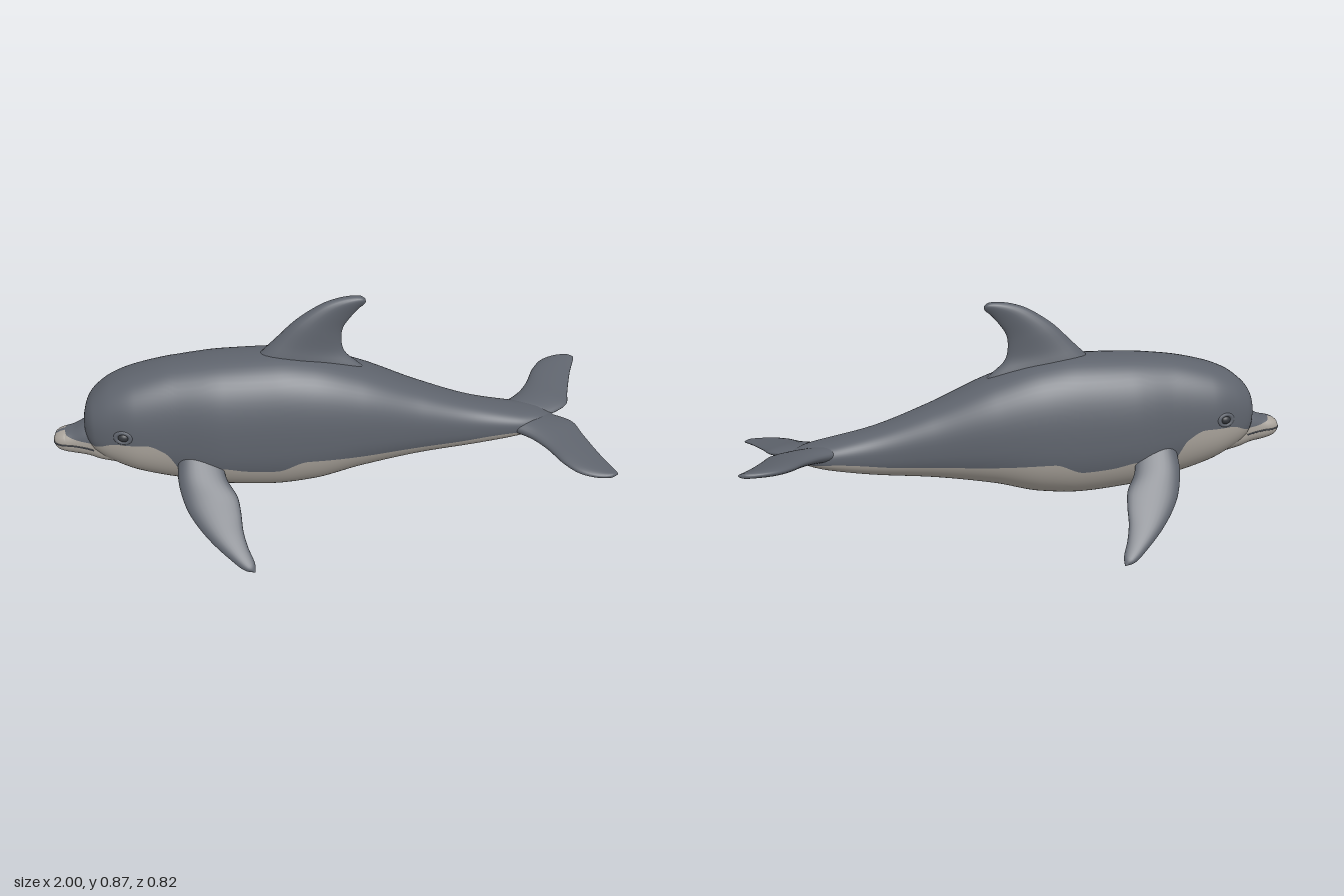
import * as THREE from 'three';

const skin = new THREE.MeshStandardMaterial({ color: 0x5e636c });
skin.name = 'slate grey skin';
const pale = new THREE.MeshStandardMaterial({ color: 0xa8a29a });
pale.name = 'pale belly';
const dark = new THREE.MeshStandardMaterial({ color: 0x34373c });
dark.name = 'dark eye';

// Smooth interpolation without overshoot through rows [x, a, b, ...]; k picks the column
function sample(rows, x, k) {
  const n = rows.length;
  let i = 0;
  while (i < n - 2 && x > rows[i + 1][0]) i++;
  const slope = (j) => (rows[j + 1][k] - rows[j][k]) / (rows[j + 1][0] - rows[j][0]);
  const tangent = (j) => {
    if (j === 0) return slope(0);
    if (j === n - 1) return slope(n - 2);
    const a = slope(j - 1), b = slope(j);
    return a * b <= 0 ? 0 : (2 * a * b) / (a + b);
  };
  const h = rows[i + 1][0] - rows[i][0];
  const t = THREE.MathUtils.clamp((x - rows[i][0]) / h, 0, 1);
  const t2 = t * t, t3 = t2 * t;
  return (2 * t3 - 3 * t2 + 1) * rows[i][k] + (t3 - 2 * t2 + t) * h * tangent(i)
    + (3 * t2 - 2 * t3) * rows[i + 1][k] + (t3 - t2) * h * tangent(i + 1);
}

// Skin closed rings of points; segments from `split` on form a second material group
function loft(rings, split) {
  const n = rings[0].length, index = [], pts = rings.flat();
  const addFaces = (from, to) => {
    const start = index.length;
    for (let i = 0; i < rings.length - 1; i++) {
      for (let j = from; j < to; j++) {
        const a = i * n + j, b = i * n + ((j + 1) % n);
        index.push(a, b, a + n, b, b + n, a + n);
      }
    }
    return [start, index.length - start];
  };
  const groups = [addFaces(0, split), addFaces(split, n)];
  // Turn all faces outward
  let volume = 0;
  const [a, b, c] = [0, 1, 2].map(() => new THREE.Vector3());
  for (let i = 0; i < index.length; i += 3) {
    a.subVectors(pts[index[i]], pts[0]);
    b.subVectors(pts[index[i + 1]], pts[0]);
    c.subVectors(pts[index[i + 2]], pts[0]);
    volume += a.dot(b.cross(c));
  }
  if (volume < 0) {
    for (let i = 0; i < index.length; i += 3) [index[i], index[i + 1]] = [index[i + 1], index[i]];
  }
  const geo = new THREE.BufferGeometry().setFromPoints(pts);
  geo.setIndex(index);
  groups.forEach(([start, count], m) => geo.addGroup(start, count, m));
  geo.computeVertexNormals();
  return geo;
}

// Rounded hull from rows [x, top, bottom, halfWidth, widestHeight] and colour line [x, y]
function hull(rows, line, steps, ease) {
  const E = 0.82, UP = 36, DOWN = 28, rings = [];
  const x0 = rows[0][0], x1 = rows[rows.length - 1][0];
  const pow = (v) => Math.sign(v) * Math.abs(v) ** E;
  for (let i = 0; i <= steps; i++) {
    const x = x0 + (x1 - x0) * (i / steps) ** ease;
    const [top, bottom, w, mid] = [1, 2, 3, 4].map((k) => sample(rows, x, k));
    const height = (s) => (s > 0 ? top - mid : mid - bottom);
    const d = sample(line, x, 1) - mid;
    const s = THREE.MathUtils.clamp(d / Math.max(height(d), 1e-4), -0.995, 0.995);
    const a = Math.asin(Math.sign(s) * Math.abs(s) ** (1 / E));
    const ring = [];
    for (let j = 0; j < UP + DOWN; j++) {
      const th = j < UP ? a + (Math.PI - 2 * a) * (j / UP)
        : Math.PI - a + (Math.PI + 2 * a) * ((j - UP) / DOWN);
      const v = pow(Math.sin(th));
      ring.push(new THREE.Vector3(x, mid + height(v) * v, w * pow(Math.cos(th))));
    }
    rings.push(ring);
  }
  return loft(rings, UP);
}

// Fin from sections [leading point, trailing point, half thickness], thick along `normal`
function fin(sections, normal) {
  const lead = new THREE.CatmullRomCurve3(sections.map((s) => s[0]));
  const trail = new THREE.CatmullRomCurve3(sections.map((s) => s[1]));
  const thick = sections.map((s, i) => [i / (sections.length - 1), s[2]]);
  const rings = [], STEPS = 40, SIDES = 28;
  for (let i = 0; i <= STEPS; i++) {
    const t = i / STEPS, p = lead.getPoint(t), q = trail.getPoint(t), h = sample(thick, t, 1);
    const ring = [];
    for (let j = 0; j < SIDES; j++) {
      const th = (j / SIDES) * Math.PI * 2;
      ring.push(p.clone().lerp(q, (1 - Math.cos(th)) / 2)
        .addScaledVector(normal, h * Math.sin(th) * (1 + 0.3 * Math.cos(th))));
    }
    rings.push(ring);
  }
  return loft(rings, SIDES);
}

export function createModel() {
  const model = new THREE.Group();
  model.name = 'dolphin';
  const V = (x, y, z) => new THREE.Vector3(x, y, z);
  const add = (name, geo, mat, parent = model) => {
    const mesh = new THREE.Mesh(geo, mat);
    mesh.name = name;
    parent.add(mesh);
    return mesh;
  };

  // Body with domed forehead and tapering tail
  const bodyRows = [
    [-0.885, 0.425, 0.415, 0.005, 0.42], [-0.88, 0.465, 0.385, 0.045, 0.42],
    [-0.865, 0.51, 0.35, 0.085, 0.42], [-0.84, 0.543, 0.32, 0.115, 0.42],
    [-0.78, 0.588, 0.28, 0.142, 0.42], [-0.69, 0.622, 0.24, 0.164, 0.41],
    [-0.55, 0.652, 0.2, 0.172, 0.4], [-0.38, 0.668, 0.17, 0.19, 0.38],
    [-0.2, 0.672, 0.157, 0.188, 0.38], [-0.06, 0.655, 0.17, 0.182, 0.385],
    [0.11, 0.605, 0.213, 0.162, 0.39], [0.33, 0.512, 0.249, 0.122, 0.375],
    [0.54, 0.438, 0.272, 0.094, 0.355], [0.7, 0.403, 0.302, 0.085, 0.352],
    [0.78, 0.387, 0.325, 0.06, 0.356], [0.84, 0.362, 0.356, 0.004, 0.36],
  ];
  const bodyLine = [
    [-0.885, 0.37], [-0.85, 0.375], [-0.76, 0.405], [-0.66, 0.405], [-0.59, 0.37],
    [-0.53, 0.28], [-0.46, 0.275], [-0.41, 0.305], [-0.3, 0.285], [-0.2, 0.278], [-0.09, 0.315],
    [0.11, 0.31], [0.44, 0.315], [0.7, 0.338], [0.77, 0.335], [0.84, 0.34],
  ];
  add('body', hull(bodyRows, bodyLine, 150, 1.5), [skin, pale]);

  // Beak, pale at the tip and below
  const beakRows = [
    [-1, 0.358, 0.346, 0.01, 0.352], [-0.992, 0.375, 0.328, 0.034, 0.352],
    [-0.97, 0.388, 0.314, 0.049, 0.35], [-0.93, 0.397, 0.304, 0.058, 0.35],
    [-0.88, 0.42, 0.299, 0.074, 0.348], [-0.82, 0.43, 0.285, 0.1, 0.345],
    [-0.72, 0.42, 0.262, 0.11, 0.34],
  ];
  const beakLine = [[-1, 0.42], [-0.965, 0.4], [-0.945, 0.382], [-0.88, 0.372], [-0.72, 0.372]];
  add('beak', hull(beakRows, beakLine, 50, 1.4), [skin, pale]);

  // Mouth line around the beak
  const half = [-0.85, -0.88, -0.93, -0.97, -0.992];
  const lip = (side) => (x) => V(x, sample(beakRows, x, 4), side * sample(beakRows, x, 3));
  const mouth = [...half.map(lip(1)), V(-0.999, 0.352, 0), ...half.map(lip(-1)).reverse()];
  add('mouthLine', new THREE.TubeGeometry(new THREE.CatmullRomCurve3(mouth), 60, 0.003, 6), skin);

  // Swept dorsal fin
  const dorsal = [
    [-0.32, 0.6, 0.22, 0.5, 0.055], [-0.25, 0.665, 0.125, 0.6, 0.05],
    [-0.19, 0.722, 0.056, 0.665, 0.04], [-0.125, 0.785, 0.045, 0.72, 0.034],
    [-0.07, 0.825, 0.052, 0.76, 0.029], [-0.01, 0.858, 0.075, 0.795, 0.024],
    [0.06, 0.876, 0.105, 0.83, 0.02], [0.112, 0.876, 0.129, 0.852, 0.014],
    [0.129, 0.866, 0.129, 0.866, 0],
  ].map(([a, b, c, d, t]) => [V(a, b, 0), V(c, d, 0), t]);
  add('dorsalFin', fin(dorsal, V(0, 0, 1)), skin);

  const flipperRows = [
    [-0.55, 0.34, -0.4, 0.34, 0.03], [-0.552, 0.27, -0.38, 0.27, 0.028],
    [-0.53, 0.2, -0.345, 0.22, 0.023], [-0.5, 0.155, -0.335, 0.175, 0.02],
    [-0.45, 0.103, -0.33, 0.125, 0.017], [-0.39, 0.055, -0.316, 0.08, 0.014],
    [-0.33, 0.016, -0.294, 0.034, 0.011], [-0.293, 0.009, -0.293, 0.009, 0],
  ];
  const flukeRows = [
    [0.6, 0.03, 0.815, -0.005, 0.02], [0.68, 0.08, 0.84, 0.005, 0.026],
    [0.735, 0.125, 0.905, 0.05, 0.024], [0.78, 0.185, 0.925, 0.115, 0.02],
    [0.82, 0.262, 0.947, 0.185, 0.017], [0.865, 0.315, 0.968, 0.245, 0.014],
    [0.92, 0.34, 0.987, 0.29, 0.011], [0.97, 0.344, 0.999, 0.32, 0.008],
    [1, 0.332, 1, 0.332, 0],
  ];

  for (const side of [1, -1]) {
    const tag = side > 0 ? 'left' : 'right';

    // Flipper, splayed outward and down
    const pf = (x, y) => V(x, y, side * (0.19 + (0.28 - y) * 0.8));
    add(tag + 'Flipper', fin(flipperRows.map(([a, b, c, d, t]) => [pf(a, b), pf(c, d), t]),
      V(0, 0.62, side * 0.78)), skin);

    // Tail fluke, with the whole tail rolled to one side
    const pk = (x, z) => V(x, 0.36 - side * z * 0.17, side * z);
    add(tag + 'Fluke', fin(flukeRows.map(([a, b, c, d, t]) => [pk(a, b), pk(c, d), t]),
      V(0, 0.985, 0.17)), skin);

    // Eye with a raised lid
    const eye = new THREE.Group();
    eye.name = tag + 'Eye';
    eye.position.set(-0.735, 0.435, side * 0.15);
    eye.rotation.y = side > 0 ? -0.2 : Math.PI + 0.2;
    model.add(eye);
    add('eyeball', new THREE.SphereGeometry(0.02, 20, 14), dark, eye).scale.set(1, 0.8, 0.7);
    add('eyelid', new THREE.TorusGeometry(0.024, 0.009, 10, 28), skin, eye).scale.set(1.1, 0.85, 1);
  }
  return model;
}
